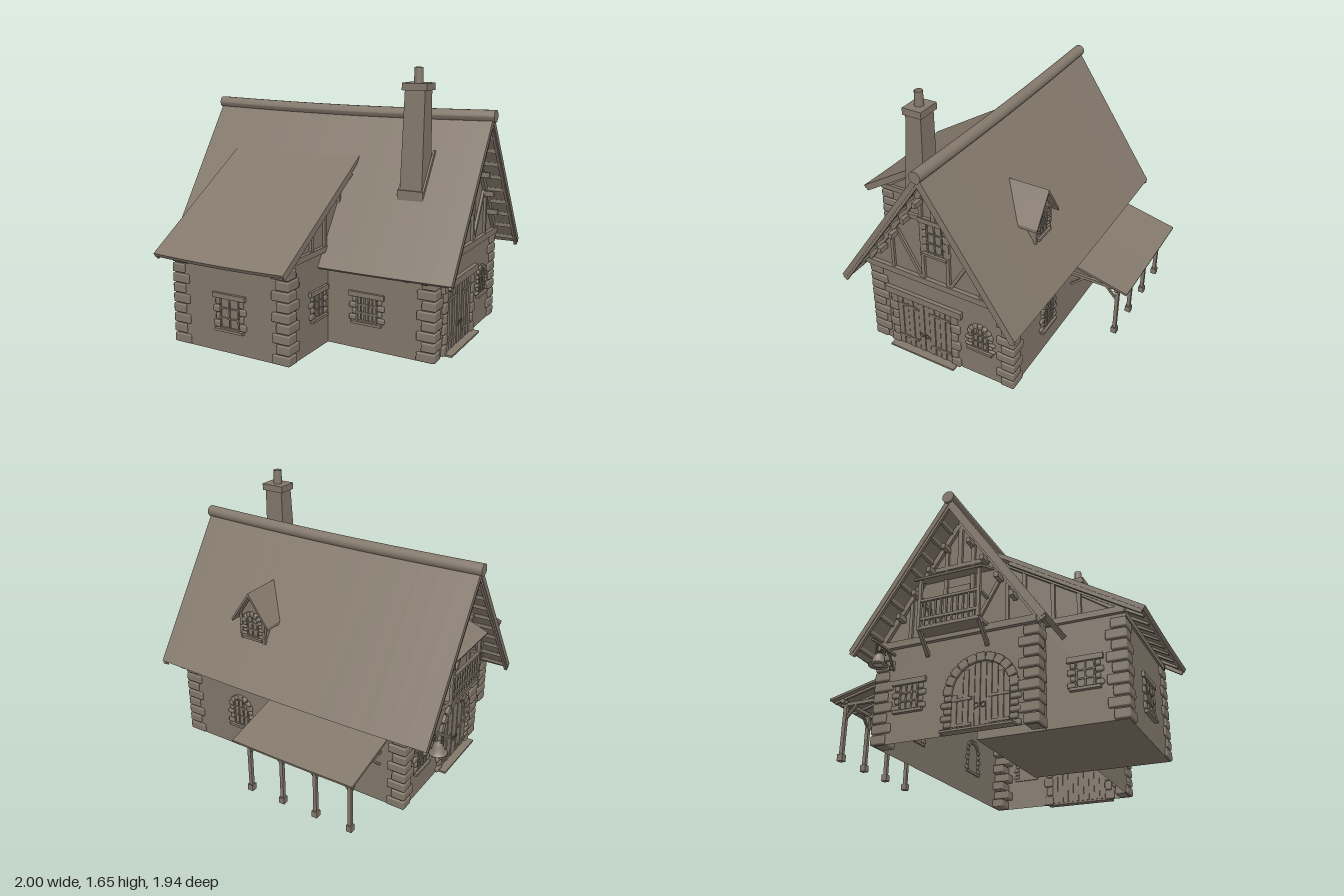
import * as THREE from 'three';
import { RoundedBoxGeometry } from 'three/addons/geometries/RoundedBoxGeometry.js';

const clay = new THREE.MeshStandardMaterial({ color: 0x83786b, side: THREE.DoubleSide });
clay.name = 'warm grey clay';

const V = (x, y, z) => new THREE.Vector3(x, y, z);
const group = (name, parent) => {
  const g = new THREE.Group();
  g.name = name;
  parent.add(g);
  return g;
};
function add(parent, name, geo, x = 0, y = 0, z = 0) {
  const m = new THREE.Mesh(geo, clay);
  m.name = name;
  m.position.set(x, y, z);
  parent.add(m);
  return m;
}
// box from its lower to its upper corner
const box = (p, name, x0, x1, y0, y1, z0, z1) =>
  add(p, name, new THREE.BoxGeometry(x1 - x0, y1 - y0, z1 - z0), (x0 + x1) / 2, (y0 + y1) / 2, (z0 + z1) / 2);
const stone = (p, x0, x1, y0, y1, z0, z1) =>
  add(p, 'stone', new RoundedBoxGeometry(x1 - x0, y1 - y0, z1 - z0, 1, 0.009), (x0 + x1) / 2, (y0 + y1) / 2, (z0 + z1) / 2);
// straight timber between two points
function beam(p, name, a, b, w = 0.025, h = w) {
  const m = new THREE.Mesh(new THREE.BoxGeometry(w, h, a.distanceTo(b)), clay);
  m.name = name;
  m.position.copy(a).lerp(b, 0.5);
  m.lookAt(b);
  p.add(m);
  return m;
}

// roof lines
const RIDGE_Z = -0.07;
const roofY = z => 1.385 - 1.475 * Math.abs(z - RIDGE_Z);
const leanY = z => 0.578 + (0.97 - z) * 0.617;
const porchY = z => 0.47 + (z + 0.57) * 0.25;

// roof slab whose top runs between two (z, y) points, sagging midway along x
function roofSlab(p, name, x0, x1, [za, ya], [zb, yb], t, sag) {
  const dz = zb - za, dy = yb - ya, L = Math.hypot(dz, dy);
  const g = new THREE.BoxGeometry(x1 - x0, t, L, 16, 1, 1);
  g.translate(0, -t / 2, 0);
  g.rotateX(-Math.atan2(dy, dz));
  g.translate((x0 + x1) / 2, (ya + yb) / 2, (za + zb) / 2);
  sagAlongX(g, x0, x1, sag);
  return add(p, name, g);
}
function sagAlongX(g, x0, x1, sag) {
  const a = g.attributes.position;
  for (let i = 0; i < a.count; i++) {
    const u = (a.getX(i) - x0) / (x1 - x0);
    a.setY(i, a.getY(i) - sag * Math.sin(Math.PI * u));
  }
  g.computeVertexNormals();
}

// alternating corner stones; sx, sz point into the building
function quoins(p, name, cx, cz, sx, sz, h, n) {
  const g = group(name, p), s = h / n;
  for (let i = 0; i < n; i++) {
    const lx = i % 2 ? 0.075 : 0.105, lz = i % 2 ? 0.105 : 0.075, o = 0.014;
    const xs = [cx - sx * o, cx + sx * lx].sort((a, b) => a - b);
    const zs = [cz - sz * o, cz + sz * lz].sort((a, b) => a - b);
    stone(g, xs[0], xs[1], i * s + 0.003, (i + 1) * s - 0.003, zs[0], zs[1]);
  }
}
function jambStones(g, half, y0, y1, n, w, d) {
  const s = (y1 - y0) / n;
  for (const k of [-1, 1]) for (let i = 0; i < n; i++) {
    const e = half + w + (i % 2 ? 0 : 0.018);
    stone(g, Math.min(k * half, k * e), Math.max(k * half, k * e), y0 + i * s + 0.002, y0 + (i + 1) * s - 0.002, -0.01, d);
  }
}
function archStones(g, half, y, w, d, n) {
  for (let i = 0; i < n; i++) {
    const a = Math.PI * (i + 0.5) / n, r = half + w / 2;
    const m = add(g, 'arch stone', new RoundedBoxGeometry(w, (Math.PI * r / n) * 0.94, d + 0.01, 1, 0.006), Math.cos(a) * r, y + Math.sin(a) * r, d / 2 - 0.005);
    m.rotation.z = a;
  }
}
const archShape = (half, h) => {
  const s = new THREE.Shape();
  s.moveTo(-half, 0).lineTo(half, 0).lineTo(half, h);
  s.absarc(0, h, half, 0, Math.PI, false);
  return s;
};
// window facing +z with its sill at the origin
function makeWindow(p, name, x, y, z, ry, w, h, arched, bars = 2) {
  const g = group(name, p), half = w / 2, top = arched ? h + half : h;
  box(g, 'sill', -half - 0.03, half + 0.03, -0.016, 0, -0.01, 0.024);
  jambStones(g, half, 0, h, 4, 0.028, 0.014);
  if (arched) archStones(g, half, h, 0.032, 0.016, 7);
  else box(g, 'lintel', -half - 0.045, half + 0.045, h, h + 0.03, -0.01, 0.018);
  add(g, 'pane', new THREE.ShapeGeometry(arched ? archShape(half, h) : new THREE.Shape([[-half, 0], [half, 0], [half, h], [-half, h]].map(q => new THREE.Vector2(...q)))), 0, 0, 0.003);
  for (let i = 0; i <= bars + 1; i++) {
    const bx = -half + 0.007 + (w - 0.014) * i / (bars + 1);
    const by = arched ? h + Math.sqrt(Math.max(0, half * half - bx * bx)) : h;
    box(g, 'upright bar', bx - 0.004, bx + 0.004, 0, by, 0, 0.01);
  }
  for (const f of [0.03, 0.35, 0.68]) box(g, 'cross bar', -half, half, top * f - 0.004, top * f + 0.004, 0, 0.009);
  g.position.set(x, y, z);
  g.rotation.y = ry;
}
// plank door facing +z
function makeDoor(p, name, x, z, ry, w, h, arched) {
  const g = group(name, p), half = w / 2;
  const top = q => arched ? h + Math.sqrt(Math.max(0, half * half - q * q)) : h;
  const n = 10;
  for (let i = 0; i < n; i++) {
    const a = -half + w * i / n, b = a + w / n;
    box(g, 'plank', a + 0.002, b - 0.002, 0.012, Math.min(top(a), top(b)) - 0.004, -0.005, i % 2 ? 0.008 : 0.011);
  }
  if (arched) add(g, 'door backing', new THREE.ShapeGeometry(archShape(half, h)), 0, 0, 0.003);
  for (const k of [-1, 1]) {
    for (const f of [0.2, 0.85]) box(g, 'hinge strap', k > 0 ? 0.05 : -half, k > 0 ? half : -0.05, h * f - 0.008, h * f + 0.008, 0, 0.015);
    add(g, 'ring handle', new THREE.TorusGeometry(0.013, 0.003, 6, 14), k * 0.02, 0.14, 0.016);
  }
  jambStones(g, half, 0, h, 6, 0.045, 0.018);
  if (arched) archStones(g, half, h, 0.05, 0.02, 11);
  else box(g, 'lintel', -half - 0.08, half + 0.08, h + 0.005, h + 0.05, -0.01, 0.025);
  box(g, 'doorstep', -half - 0.04, half + 0.04, 0, 0.012, 0, 0.06);
  g.position.set(x, 0, z);
  g.rotation.y = ry;
}

// timber frame and roof edge on one end wall; s is the x direction
function gable(p, name, s, wallX, edgeX) {
  const g = group(name, p), x = wallX + s * 0.006, zc = RIDGE_Z;
  beam(g, 'sill beam', V(x, 0.58, -0.575), V(x, 0.58, 0.405), 0.04);
  beam(g, 'collar beam', V(x, 1.01, zc - 0.21), V(x, 1.01, zc + 0.21), 0.026);
  beam(g, 'king post', V(x, 1.02, zc), V(x, 1.32, zc), 0.026);
  for (const k of [-1, 1]) {
    const at = (dz, off, xx) => V(xx, roofY(zc + dz) - off, zc + k * dz);
    beam(g, 'post', V(x, 0.6, zc + k * 0.085), V(x, 1.16, zc + k * 0.085), 0.022);
    beam(g, 'brace', V(x, 0.6, zc + k * 0.1), V(x, 0.88, zc + k * 0.26), 0.02);
    beam(g, 'stud', V(x, 0.6, zc + k * 0.3), V(x, 0.83, zc + k * 0.3), 0.02);
    beam(g, 'wall rafter', at(0.01, 0.085, x), at(0.5, 0.085, x), 0.03);
    beam(g, 'bargeboard', at(0, 0.05, edgeX - s * 0.012), at(0.575, 0.05, edgeX - s * 0.012), 0.018, 0.035);
    for (let i = 0; i < 4; i++) {
      const dz = 0.08 + i * 0.09, y = 1.13 - i * 0.133;
      box(g, 'purlin end', Math.min(x, x + s * 0.07), Math.max(x, x + s * 0.07), y - 0.016, y + 0.016, zc + k * dz - 0.013, zc + k * dz + 0.013);
    }
    for (let i = 0; i < 9; i++) beam(g, 'batten', at(0.06 + i * 0.06, 0.055, wallX), at(0.06 + i * 0.06, 0.055, edgeX - s * 0.01), 0.022);
  }
}

export function createModel() {
  const house = new THREE.Group();
  house.name = 'cottage';

  // main walls, open underneath
  const walls = group('main walls', house);
  const gs = new THREE.Shape([[-0.57, 0], [0.4, 0], [0.4, 0.65], [RIDGE_Z, 1.34], [-0.57, 0.61]].map(q => new THREE.Vector2(...q)));
  for (const [x, s] of [[0.84, 1], [-0.77, -1]]) {
    const geo = new THREE.ShapeGeometry(gs);
    if (s > 0) geo.scale(-1, 1, 1);
    const m = add(walls, 'end wall', geo, x, 0, 0);
    if (s > 0) {
      const idx = geo.index.array;
      for (let i = 0; i < idx.length; i += 3) [idx[i], idx[i + 1]] = [idx[i + 1], idx[i]];
      geo.computeVertexNormals();
    }
    m.rotation.y = s > 0 ? Math.PI / 2 : -Math.PI / 2;
  }
  add(walls, 'front wall', new THREE.PlaneGeometry(1.61, 0.65), 0.035, 0.325, 0.4);
  add(walls, 'back wall', new THREE.PlaneGeometry(1.61, 0.61), 0.035, 0.305, -0.57).rotation.y = Math.PI;

  // front wing under a lean-to roof
  const ws = new THREE.Shape([[0, 0], [-0.84, 0], [-0.84, 0.63], [-0.12, 1.07], [0, 1.07]].map(q => new THREE.Vector2(...q)));
  add(house, 'wing walls', new THREE.ExtrudeGeometry(ws, { depth: 0.8, bevelEnabled: false }), -0.65, 0, 0).rotation.y = Math.PI / 2;

  // roofs
  const roof = group('roofs', house);
  roofSlab(roof, 'main roof front', -0.945, 0.985, [RIDGE_Z, 1.385], [0.52, 0.515], 0.03, 0.014);
  roofSlab(roof, 'main roof back', -0.945, 0.985, [-0.66, 0.515], [RIDGE_Z, 1.385], 0.03, 0.014);
  roofSlab(roof, 'wing roof', -0.7, 0.205, [0.1, leanY(0.1)], [0.97, leanY(0.97)], 0.025, 0.008);
  roofSlab(roof, 'porch roof', -0.67, 0.15, [-0.97, 0.375], [-0.56, 0.475], 0.014, 0.004);
  const cap = new THREE.CylinderGeometry(0.037, 0.037, 1.955, 14, 16);
  cap.rotateZ(Math.PI / 2);
  cap.translate(0.0205, 1.374, RIDGE_Z);
  sagAlongX(cap, -0.957, 0.998, 0.014);
  add(roof, 'ridge cap', cap);

  gable(house, 'right gable', 1, 0.84, 0.985);
  gable(house, 'left gable', -1, -0.77, -0.945);

  // rafter tails below the eaves
  const tails = group('rafter tails', house);
  for (let i = 0; i < 15; i++) {
    const x = -0.72 + i * 0.11;
    beam(tails, 'back tail', V(x, roofY(-0.55) - 0.055, -0.55), V(x, roofY(-0.64) - 0.05, -0.64), 0.025);
    if (x > 0.2) beam(tails, 'front tail', V(x, roofY(0.39) - 0.055, 0.39), V(x, roofY(0.5) - 0.05, 0.5), 0.025);
    if (i < 8) beam(tails, 'wing tail', V(-0.62 + i * 0.105, leanY(0.82) - 0.04, 0.82), V(-0.62 + i * 0.105, leanY(0.94) - 0.035, 0.94), 0.02);
  }

  // wing side timbers
  for (const [x, e] of [[0.155, 0.195], [-0.655, -0.69]]) {
    const g = group('wing side frame', house);
    beam(g, 'sill beam', V(x, 0.6, 0.4), V(x, 0.6, 0.85), 0.035);
    for (const z of [0.82, 0.6, 0.45, 0.28]) beam(g, 'stud', V(x, 0.6, z), V(x, leanY(z) - 0.03, z), 0.022);
    beam(g, 'brace', V(x, 0.61, 0.8), V(x, leanY(0.62) - 0.06, 0.62), 0.02);
    beam(g, 'wall rafter', V(x, leanY(0.84) - 0.045, 0.84), V(x, leanY(0.2) - 0.045, 0.2), 0.028);
    beam(g, 'bargeboard', V(e, leanY(0.95) - 0.037, 0.95), V(e, leanY(0.2) - 0.037, 0.2), 0.016, 0.028);
  }
  box(house, 'wing front beam', -0.65, 0.15, 0.565, 0.6, 0.82, 0.852);

  // corner stones
  for (const [x, sx] of [[0.84, -1], [-0.77, 1]]) {
    quoins(house, 'front corner stones', x, 0.4, sx, -1, 0.555, 9);
    quoins(house, 'back corner stones', x, -0.57, sx, 1, 0.555, 9);
  }
  quoins(house, 'wing corner stones', 0.15, 0.84, -1, -1, 0.565, 9);
  quoins(house, 'wing corner stones', -0.65, 0.84, 1, -1, 0.565, 9);

  // windows and doors
  const R = Math.PI / 2;
  makeWindow(house, 'wing front window', -0.25, 0.15, 0.84, 0, 0.14, 0.185, false, 1);
  makeWindow(house, 'front window', 0.415, 0.175, 0.4, 0, 0.14, 0.15, false, 4);
  makeWindow(house, 'wing side window', 0.15, 0.2, 0.52, R, 0.11, 0.145, false, 1);
  makeWindow(house, 'wing left window', -0.65, 0.2, 0.62, -R, 0.11, 0.145, false, 1);
  makeWindow(house, 'right arched window', 0.84, 0.21, -0.355, R, 0.11, 0.1, true);
  makeWindow(house, 'left window', -0.77, 0.18, -0.36, -R, 0.12, 0.15, false);
  makeWindow(house, 'right loft window', 0.845, 0.79, RIDGE_Z, R, 0.11, 0.2, false, 1);
  for (const x of [0.41, -0.33]) makeWindow(house, 'back arched window', x, 0.17, -0.57, Math.PI, 0.12, 0.13, true);
  makeDoor(house, 'right double door', 0.84, 0.035, R, 0.38, 0.385, false);
  makeDoor(house, 'left arched door', -0.77, 0.08, -R, 0.34, 0.22, true);

  // balcony on the left gable
  const bal = group('balcony', house);
  box(bal, 'balcony floor', -0.9, -0.77, 0.585, 0.605, -0.26, 0.12);
  box(bal, 'balcony door', -0.785, -0.77, 0.605, 0.88, -0.14, 0);
  for (const y of [0.64, 0.755]) box(bal, 'front rail', -0.9, -0.884, y, y + 0.016, -0.26, 0.12);
  for (const z of [-0.252, 0.112]) {
    box(bal, 'corner post', -0.902, -0.882, 0.6, 0.9, z - 0.01, z + 0.01);
    box(bal, 'side rail', -0.89, -0.77, 0.755, 0.771, z - 0.008, z + 0.008);
    beam(bal, 'bracket', V(-0.77, 0.48, z), V(-0.88, 0.588, z), 0.02);
  }
  for (let i = 0; i < 10; i++) box(bal, 'baluster', -0.896, -0.886, 0.605, 0.76, -0.225 + i * 0.034, -0.215 + i * 0.034);
  beam(bal, 'canopy', V(-0.77, 0.95, RIDGE_Z), V(-0.925, 0.89, RIDGE_Z), 0.42, 0.014);

  // chimney, widening toward its foot
  const ch = group('chimney', house);
  const shaft = new THREE.BoxGeometry(0.125, 0.66, 0.1);
  const sp = shaft.attributes.position;
  for (let i = 0; i < sp.count; i++) if (sp.getY(i) < 0) {
    sp.setX(i, sp.getX(i) * 1.12);
    if (sp.getZ(i) > 0) sp.setZ(i, 0.09);
  }
  shaft.computeVertexNormals();
  add(ch, 'shaft', shaft, 0.61, 1.21, 0.158);
  box(ch, 'cap', 0.533, 0.687, 1.525, 1.567, 0.095, 0.22);
  add(ch, 'pot', new THREE.CylinderGeometry(0.025, 0.028, 0.09, 14, 1, true), 0.61, 1.61, 0.158);
  add(ch, 'pot inside', new THREE.CircleGeometry(0.025, 14), 0.61, 1.63, 0.158).rotation.x = -R;
  box(ch, 'foot', 0.53, 0.69, 0.895, 0.955, 0.14, 0.255);
  for (const x of [0.535, 0.685]) beam(ch, 'flashing', V(x, roofY(0.25) + 0.008, 0.25), V(x, roofY(0.08) + 0.008, 0.08), 0.012, 0.02);

  // dormer on the back slope
  const dm = group('dormer', house);
  const ds = new THREE.Shape([[-0.09, 0.72], [0.09, 0.72], [0.09, 0.93], [0, 1.06], [-0.09, 0.93]].map(q => new THREE.Vector2(...q)));
  add(dm, 'dormer walls', new THREE.ExtrudeGeometry(ds, { depth: 0.22, bevelEnabled: false }), 0.35, 0, -0.485);
  for (const k of [-1, 1]) {
    const rs = new THREE.Shape([[0, 1.092], [k * 0.137, 0.895], [k * 0.137, 0.875], [0, 1.068]].map(q => new THREE.Vector2(...q)));
    add(dm, 'dormer roof', new THREE.ExtrudeGeometry(rs, { depth: 0.26, bevelEnabled: false }), 0.35, 0, -0.522);
    box(dm, 'corner post', 0.35 + k * 0.085 - 0.01, 0.35 + k * 0.085 + 0.01, 0.76, 0.93, -0.495, -0.475);
  }
  makeWindow(dm, 'dormer window', 0.35, 0.79, -0.485, Math.PI, 0.09, 0.09, true, 1);

  // porch posts and beams
  const po = group('porch', house);
  for (let i = 0; i < 4; i++) {
    const x = -0.61 + i * 0.233;
    box(po, 'post', x - 0.011, x + 0.011, 0, 0.35, -0.901, -0.879);
    box(po, 'post foot', x - 0.018, x + 0.018, 0, 0.04, -0.908, -0.872);
    box(po, 'tie beam', x - 0.01, x + 0.01, 0.335, 0.355, -0.92, -0.57);
    beam(po, 'post brace', V(x, 0.26, -0.885), V(x, 0.34, -0.81), 0.014);
    beam(po, 'wall brace', V(x, 0.26, -0.575), V(x, 0.34, -0.66), 0.014);
    for (const k of [-1, 1]) if (x + k * 0.08 > -0.65 && x + k * 0.08 < 0.13) beam(po, 'side brace', V(x, 0.27, -0.89), V(x + k * 0.07, 0.345, -0.89), 0.012);
  }
  box(po, 'long beam', -0.65, 0.13, 0.345, 0.367, -0.902, -0.878);
  box(po, 'wall plate', -0.65, 0.13, 0.425, 0.45, -0.59, -0.57);
  for (let i = 0; i < 9; i++) beam(po, 'rafter', V(-0.64 + i * 0.095, porchY(-0.95) - 0.022, -0.95), V(-0.64 + i * 0.095, porchY(-0.57) - 0.022, -0.57), 0.014);

  // hanging bell
  const bell = group('bell', house);
  const prof = [[0, 0.47], [0.02, 0.467], [0.032, 0.45], [0.037, 0.42], [0.055, 0.405], [0.055, 0.398], [0.03, 0.4]];
  add(bell, 'bell body', new THREE.LatheGeometry(prof.map(q => new THREE.Vector2(...q)), 20), -0.927, 0, -0.47);
  box(bell, 'bracket bar', -1, -0.77, 0.52, 0.532, -0.476, -0.464);
  beam(bell, 'bracket brace', V(-0.77, 0.43, -0.47), V(-0.84, 0.52, -0.47), 0.01);
  for (const [x, y] of [[-0.8, 0.435], [-0.86, 0.5]]) add(bell, 'curl', new THREE.TorusGeometry(0.015, 0.004, 6, 12, 4.5), x, y, -0.47);
  for (const k of [-1, 1]) for (let i = 0; i < 4; i++) {
    const l = add(bell, 'chain link', new THREE.TorusGeometry(0.009, 0.0028, 5, 10), -0.927 + k * 0.024, 0.465 + i * 0.016, -0.47);
    l.rotation.y = i % 2 ? R : 0;
  }
  return house;
}
